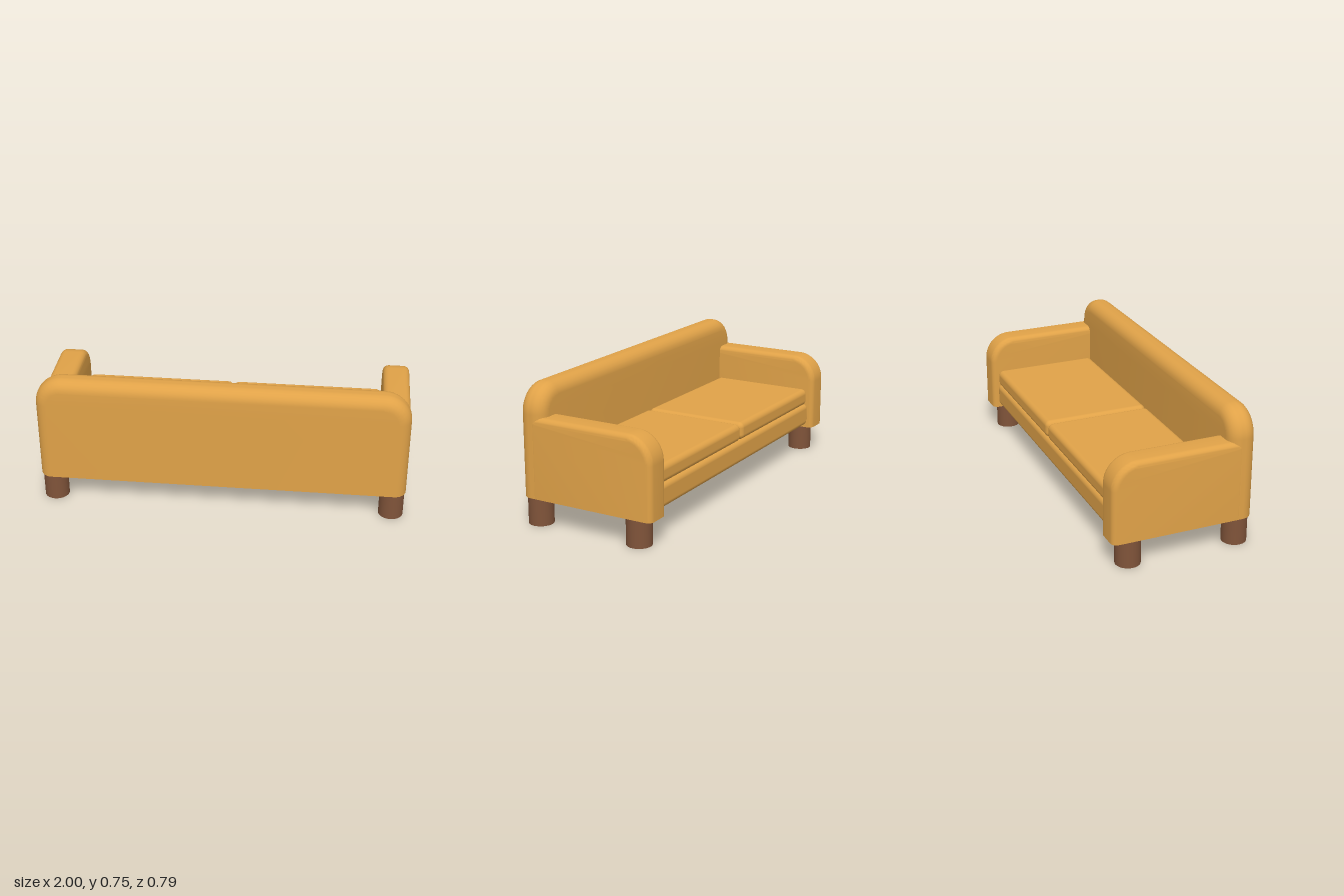
import * as THREE from 'three';
import { toCreasedNormals } from 'three/addons/utils/BufferGeometryUtils.js';
import { RoundedBoxGeometry } from 'three/addons/geometries/RoundedBoxGeometry.js';

const FLOOR = 0.15; // underside of the upholstery

// Upholstered slab: rounded top corners, soft face edges, flat sharp-edged underside.
// Extends from u0 to u1 along x, thickness centred on z.
function paddedSlab(u0, u1, top, r0, r1, thickness, bevel) {
  const low = FLOOR - 0.1;
  const s = new THREE.Shape();
  s.moveTo(u0, low);
  s.lineTo(u1, low);
  s.lineTo(u1, top - r1);
  s.absarc(u1 - r1, top - r1, r1, 0, Math.PI / 2, false);
  s.lineTo(u0 + r0, top);
  s.absarc(u0 + r0, top - r0, r0, Math.PI / 2, Math.PI, false);
  s.closePath();
  const geo = new THREE.ExtrudeGeometry(s, {
    depth: thickness - 2 * bevel, curveSegments: 10,
    bevelEnabled: true, bevelThickness: bevel, bevelSize: bevel, bevelOffset: -bevel, bevelSegments: 6,
  });
  geo.translate(0, 0, -(thickness - 2 * bevel) / 2);
  // Cut the lower rounding off level with the underside
  const p = geo.attributes.position;
  for (let i = 0; i < p.count; i++) p.setY(i, Math.max(p.getY(i), FLOOR));
  return geo;
}

export function createModel() {
  const sofa = new THREE.Group();
  sofa.name = 'sofa';
  const fabric = new THREE.MeshStandardMaterial({ color: 0xe0a248 });
  const wood = new THREE.MeshStandardMaterial({ color: 0x80543a });

  const add = (name, geo, mat, x, y, z) => {
    const mesh = new THREE.Mesh(geo, mat);
    mesh.name = name;
    mesh.position.set(x, y, z);
    sofa.add(mesh);
  };

  // Backrest along the +z side
  const back = paddedSlab(-1, 1, 0.747, 0.15, 0.15, 0.148, 0.065);
  add('backrest', toCreasedNormals(back, 0.7), fabric, 0, 0, 0.319);

  // Armrests, rounded at the seat front, rear end tucked into the backrest
  const arm = paddedSlab(-0.393, 0.33, 0.583, 0.145, 0.04, 0.148, 0.032);
  arm.rotateY(-Math.PI / 2);
  const armGeo = toCreasedNormals(arm, 0.7);

  // Seat base and two cushions
  const box = (x0, x1, y0, y1, z0, z1, r, name) =>
    add(name, new RoundedBoxGeometry(x1 - x0, y1 - y0, z1 - z0, 5, r), fabric,
      (x0 + x1) / 2, (y0 + y1) / 2, (z0 + z1) / 2);
  box(-0.87, 0.87, 0.165, 0.298, -0.36, 0.275, 0.03, 'seatBase');

  const legGeo = new THREE.CylinderGeometry(0.067, 0.067, FLOOR + 0.005, 32);
  for (const [side, label] of [[1, 'left'], [-1, 'right']]) {
    add(label + 'Armrest', armGeo, fabric, side * 0.926, 0, 0);
    const xs = [side * 0.002, side * 0.851];
    box(Math.min(...xs), Math.max(...xs), 0.295, 0.393, -0.36, 0.243, 0.03, label + 'Cushion');
    add(label + 'SeatFrontLeg', legGeo, wood, side * 0.927, FLOOR / 2 + 0.0025, -0.281);
    add(label + 'BackrestLeg', legGeo, wood, side * 0.927, FLOOR / 2 + 0.0025, 0.319);
  }
  return sofa;
}
